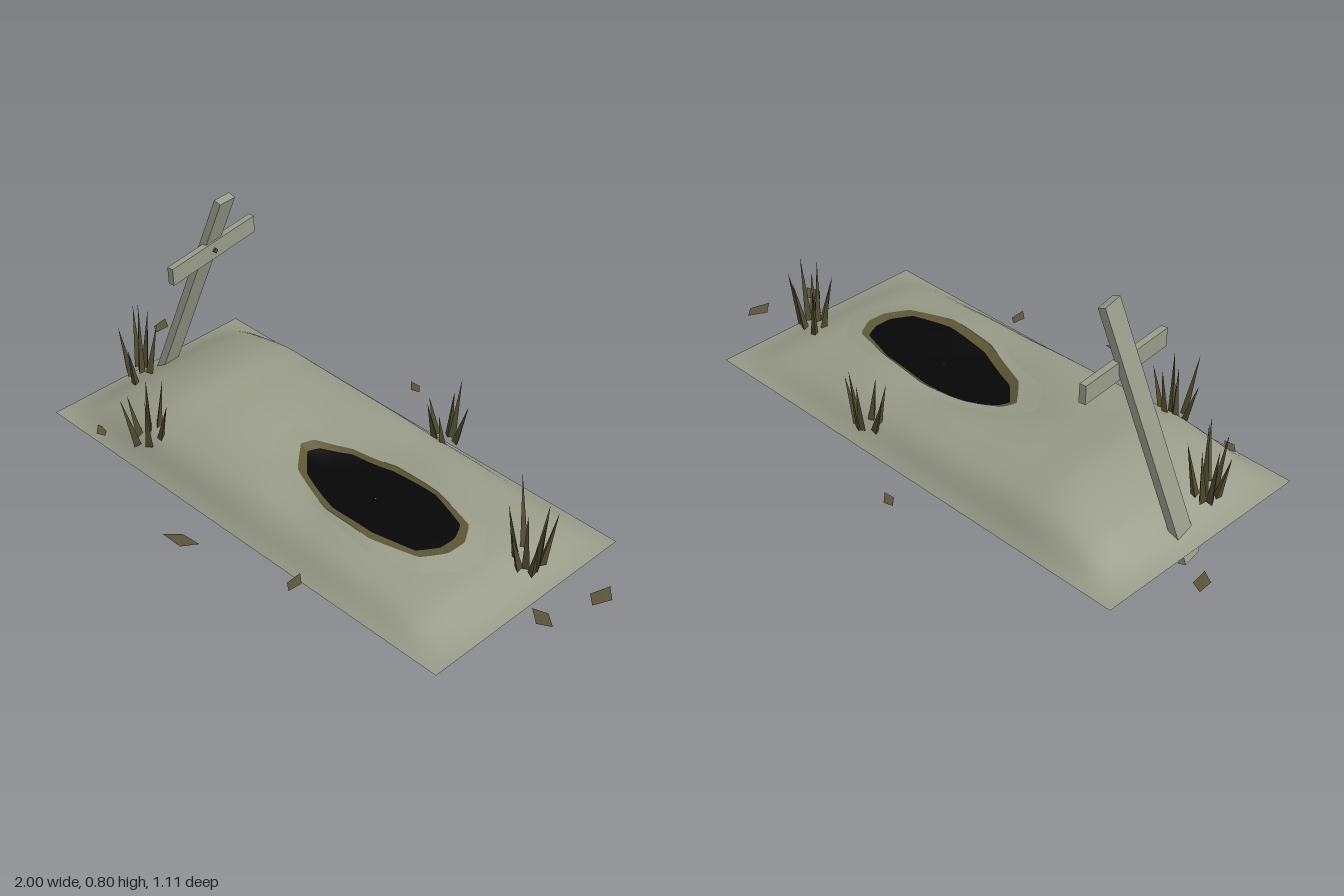
import * as THREE from 'three';

const mat = (name, color, side = THREE.FrontSide) => {
  const m = new THREE.MeshStandardMaterial({ color, side });
  m.name = name;
  return m;
};

const V = (x, y, z) => new THREE.Vector3(x, y, z);

// Height profiles of the mound along its length and from its middle to its edge
const spline = (ys) => new THREE.SplineCurve(ys.map((y, i) => new THREE.Vector2(i, y)));
const along = spline([0, 0.085, 0.138, 0.136, 0.131, 0.127, 0.112, 0.104, 0.084, 0.06, 0]);
const across = spline([1, 1, 0.96, 0.87, 0.62, 0]);
const clamp = THREE.MathUtils.clamp;
const BASE = 0.071;

function groundHeight(x, z) {
  const s = clamp((x + 0.0075 - 0.03 * z) / 0.846, -1, 1);
  const t = clamp(Math.abs(z + 0.021 + 0.028 * x) / 0.399, 0, 1);
  const dent = 0.085 * Math.exp(-(((x - 0.1) / 0.27) ** 2) - (z / 0.16) ** 2);
  const h = along.getPoint((s + 1) / 2).y * across.getPoint(t).y;
  return BASE + Math.max(0, h - dent * Math.min(1, h / 0.05));
}

// The hole floor sinks towards its left end and never drops below the ground
const holeHeight = (x, z) => Math.max(groundHeight(x, z), 0.121 + 0.035 * (x + 0.05));

// Surface through rows of points that all have the same length
function loft(rows) {
  const n = rows[0].length;
  const geo = new THREE.BufferGeometry().setFromPoints(rows.flat());
  const index = [];
  for (let r = 0; r < rows.length - 1; r++) {
    for (let i = 0; i < n - 1; i++) {
      const a = r * n + i, b = a + n;
      index.push(a, b, a + 1, b, b + 1, a + 1);
    }
  }
  geo.setIndex(index);
  geo.computeVertexNormals();
  return geo;
}

// Closed outline laid on a height function, lifted by a small amount
function outline(points, height, lift) {
  const curve = new THREE.CatmullRomCurve3(points.map(([x, z]) => V(x, 0, z)), true, 'catmullrom', 0.1);
  return curve.getPoints(60).map((p) => V(p.x, height(p.x, p.z) + lift, p.z));
}

export function createModel() {
  const group = new THREE.Group();
  const soil = mat('greySoil', 0x989a88, THREE.DoubleSide);
  const rim = mat('oliveRim', 0x5c5735, THREE.DoubleSide);
  const dark = mat('blackHole', 0x060606, THREE.DoubleSide);
  const wood = mat('greyWood', 0x989b89);
  const nailMetal = mat('darkNail', 0x4c4d48);
  const grass = mat('dryGrass', 0x4e4d30);
  const leafMat = mat('deadLeaf', 0x59543a, THREE.DoubleSide);

  const add = (parent, name, geo, material) => {
    const mesh = new THREE.Mesh(geo, material);
    mesh.name = name;
    parent.add(mesh);
    return mesh;
  };

  // Open sheet of heaped earth
  const rows = [];
  for (let j = 0; j <= 40; j++) {
    const row = [];
    for (let i = 0; i <= 72; i++) {
      const a = 0.846 * (i / 36 - 1), b = 0.399 * (j / 20 - 1);
      const x = -0.0075 + a + 0.03 * b, z = -0.021 - 0.028 * a + b;
      const edge = i === 0 || j === 0 || i === 72 || j === 40;
      row.push(V(x, edge ? BASE : groundHeight(x, z), z));
    }
    rows.push(row);
  }
  add(group, 'mound', loft(rows), soil);

  // Sunken hole: earth lip, olive inner rim and black floor
  const holeEdge = [[-0.055, 0], [-0.04, -0.04], [0.05, -0.095], [0.2, -0.125], [0.38, -0.125], [0.52, -0.085],
    [0.55, -0.03], [0.55, 0.03], [0.51, 0.095], [0.37, 0.135], [0.2, 0.13], [0.02, 0.07]];
  const lipTop = [[-0.085, 0], [-0.07, -0.045], [0.04, -0.105], [0.2, -0.14], [0.38, -0.135], [0.54, -0.1],
    [0.585, -0.035], [0.585, 0.035], [0.54, 0.11], [0.39, 0.165], [0.2, 0.16], [0, 0.09]];
  const lipFoot = [[-0.16, 0.01], [-0.14, -0.06], [0.01, -0.13], [0.19, -0.165], [0.4, -0.165], [0.57, -0.14],
    [0.66, -0.04], [0.65, 0.05], [0.58, 0.15], [0.42, 0.2], [0.18, 0.175], [-0.09, 0.11]];
  const foot = outline(lipFoot, groundHeight, 0.001);
  const top = outline(lipTop, holeHeight, 0.011);
  const edge = outline(holeEdge, holeHeight, 0.006);
  add(group, 'holeLip', loft([top, foot]), soil);
  add(group, 'holeRim', loft([edge, top]), rim);
  const floor = [0.01, 0.2, 0.4, 0.6, 0.8].map((k) => outline(
    holeEdge.map(([x, z]) => [0.25 + (x - 0.25) * k, z * k]), holeHeight, 0.006));
  add(group, 'holeFloor', loft([...floor, edge]), dark);

  // Leaning post, pushed through the mound
  const cross = new THREE.Group();
  cross.name = 'cross';
  group.add(cross);
  const foot0 = V(-0.817, 0.006, -0.016), head = V(-0.557, 0.794, -0.114);
  const up = head.clone().sub(foot0).normalize();
  const out = up.clone().cross(V(0.055, -0.015, 0.385)).normalize();
  const sideways = out.clone().cross(up);
  const post = add(cross, 'post', new THREE.BoxGeometry(0.026, foot0.distanceTo(head), 0.072), wood);
  post.quaternion.setFromRotationMatrix(new THREE.Matrix4().makeBasis(out, up, sideways));
  post.position.copy(foot0).lerp(head, 0.5);

  // Upright crossbar, slightly turned and tipped, with a nail head
  const arm = new THREE.Group();
  arm.name = 'crossArm';
  arm.position.set(-0.6, 0.602, -0.09);
  arm.rotation.set(0.04, 0.15, 0, 'YXZ');
  cross.add(arm);
  add(arm, 'crossbar', new THREE.BoxGeometry(0.022, 0.06, 0.39), wood);
  const nail = add(arm, 'nail', new THREE.CylinderGeometry(0.01, 0.01, 0.012, 4), nailMetal);
  nail.position.x = 0.012;
  nail.rotation.z = Math.PI / 2;

  // Grass tufts: centre of the base, then the tip of each blade
  const tufts = [
    { base: [-0.76, 0.14, 0.11], tips: [[-0.83, 0.35, 0.07], [-0.79, 0.34, 0.04], [-0.76, 0.4, 0.1],
      [-0.72, 0.32, 0.06], [-0.68, 0.31, 0.21], [-0.78, 0.33, 0.17], [-0.82, 0.28, 0.14]] },
    { base: [-0.45, 0.14, 0.31], tips: [[-0.52, 0.28, 0.34], [-0.47, 0.34, 0.3], [-0.44, 0.34, 0.26],
      [-0.4, 0.33, 0.36], [-0.37, 0.3, 0.3], [-0.46, 0.33, 0.41]] },
    { base: [0.17, 0.13, -0.385], tips: [[0.1, 0.25, -0.38], [0.14, 0.27, -0.33], [0.17, 0.29, -0.42],
      [0.19, 0.34, -0.43], [0.25, 0.28, -0.4], [0.2, 0.26, -0.32]] },
    { base: [0.745, 0.12, -0.14], tips: [[0.63, 0.335, -0.22], [0.67, 0.3, -0.12], [0.735, 0.27, -0.06],
      [0.75, 0.3, -0.21], [0.81, 0.34, -0.13], [0.8, 0.31, -0.19], [0.76, 0.33, -0.1], [0.82, 0.26, -0.08]] },
  ];
  tufts.forEach(({ base, tips }) => {
    const tuft = new THREE.Group();
    tuft.name = 'grassTuft';
    group.add(tuft);
    const centre = V(...base);
    tips.forEach((tip, i) => {
      const end = V(...tip);
      const start = centre.clone().lerp(end, 0.5).setY(base[1] - 0.006);
      const dir = end.clone().sub(start);
      const geo = new THREE.ConeGeometry(0.014, dir.length(), 3).toNonIndexed();
      geo.computeVertexNormals();
      geo.rotateY(i * 1.3);
      const blade = add(tuft, 'grassBlade', geo, grass);
      blade.quaternion.setFromUnitVectors(V(0, 1, 0), dir.clone().normalize());
      blade.position.copy(start).addScaledVector(dir, 0.5);
    });
  });

  // Scattered leaves: x, z, turn, half length, half width
  [[-0.115, -0.542, -0.35, 0.034, 0.018], [-0.977, -0.15, -1.0, 0.045, 0.024], [-0.63, 0.372, -0.3, 0.032, 0.019],
    [-0.043, 0.521, 0.44, 0.06, 0.027], [0.328, 0.403, -1.15, 0.042, 0.02], [0.915, -0.008, -0.17, 0.046, 0.028],
    [0.967, -0.203, -1.4, 0.051, 0.032]].forEach(([x, z, turn, l, w], i) => {
    const corners = [V(-l, 0.002, 0), V(0.15 * l, -0.002, w), V(l, 0.002, 0), V(-0.15 * l, -0.002, -w)];
    const geo = new THREE.BufferGeometry().setFromPoints(corners);
    geo.setIndex([0, 1, 2, 0, 2, 3]);
    geo.computeVertexNormals();
    const leaf = add(group, 'leaf', geo, leafMat);
    leaf.position.set(x, 0.094 + 0.002 * (i % 3), z);
    leaf.rotation.y = turn;
  });

  return group;
}
